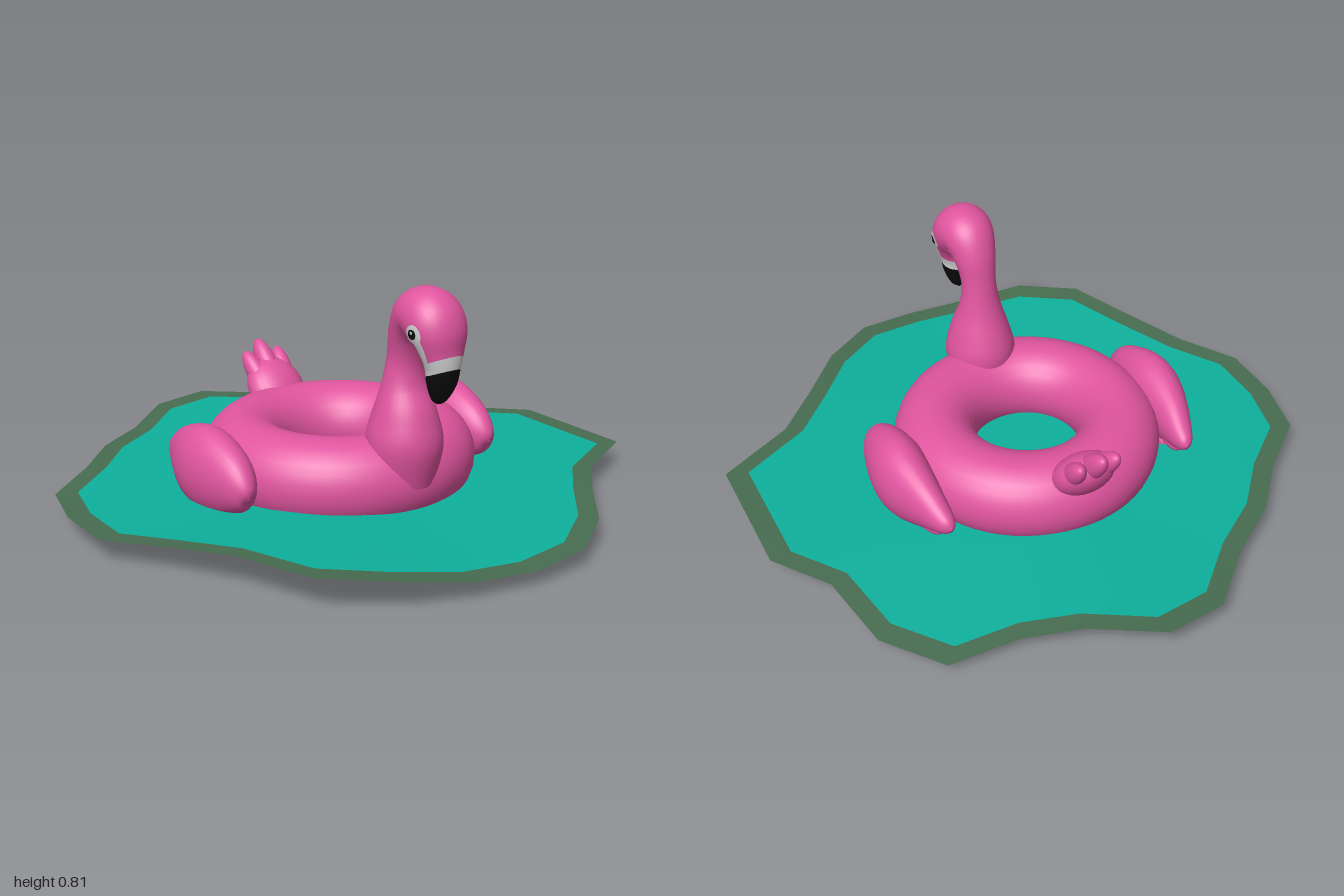
import * as THREE from 'three';

const material = (name, color, extra = {}) => {
  const m = new THREE.MeshStandardMaterial({ color, ...extra });
  m.name = name;
  return m;
};

// Closed-around surface: fn(u 0..1, v 0..1) gives a point, v wraps around
function surface(fn, nu, nv) {
  const pos = [], idx = [];
  for (let i = 0; i <= nu; i++)
    for (let j = 0; j < nv; j++) pos.push(...fn(i / nu, j / nv).toArray());
  for (let i = 0; i < nu; i++)
    for (let j = 0; j < nv; j++) {
      const k = (j + 1) % nv;
      const a = i * nv + j, b = a + nv, c = i * nv + k, d = c + nv;
      idx.push(a, b, c, b, d, c);
    }
  const g = new THREE.BufferGeometry();
  g.setAttribute('position', new THREE.Float32BufferAttribute(pos, 3));
  g.setIndex(idx);
  g.computeVertexNormals();
  return g;
}

// Smooth body through elliptical sections [x, y, z, radius in bend plane, radius across]
function makeBody(sections) {
  const n = sections.length - 1;
  const path = new THREE.CatmullRomCurve3(sections.map(s => new THREE.Vector3(s[0], s[1], s[2])), false, 'catmullrom', 0.5);
  const radii = new THREE.CatmullRomCurve3(sections.map(s => new THREE.Vector3(s[3], s[4], 0)), false, 'catmullrom', 0.5);
  // Point at section number s and angle a (0 = outside of the bend)
  return (s, a, lift = 0) => {
    const u = THREE.MathUtils.clamp(s / n, 0, 1);
    const p = path.getPoint(u), t = path.getTangent(u), r = radii.getPoint(u);
    const l = Math.hypot(t.y, t.z);
    const c = (Math.max(r.x, 0) + lift) * Math.cos(a);
    return new THREE.Vector3(
      p.x + (Math.max(r.y, 0) + lift) * Math.sin(a),
      p.y + (c * t.z) / l,
      p.z - (c * t.y) / l);
  };
}

export function createModel() {
  const model = new THREE.Group();
  model.name = 'flamingoFloatOnWater';
  const pink = material('pink vinyl', 0xe0559f);
  const white = material('pale grey', 0xcfcfcf);
  const black = material('black', 0x0b0b0b);
  const teal = material('teal water', 0x0eb09c, { side: THREE.DoubleSide });
  const green = material('dull green rim', 0x476c50, { side: THREE.DoubleSide });

  const add = (parent, name, geometry, mat) => {
    const mesh = new THREE.Mesh(geometry, mat);
    mesh.name = name;
    parent.add(mesh);
    return mesh;
  };

  // Water sheet: outline corners [x, z, height]
  const outline = [
    [0, -1, .11], [.22, -.86, .1], [.41, -.78, .07], [.64, -.76, .05], [.79, -.57, .05],
    [.84, -.3, .07], [.98, -.12, .08], [.98, .35, .08], [.71, .49, .08], [.55, .66, .08],
    [.4, .84, .07], [.21, .97, .06], [0, .99, .05], [-.22, .96, .06], [-.45, .9, .1],
    [-.64, .76, .11], [-.74, .5, .11], [-.85, .29, .09], [-.98, .1, .08], [-.98, -.12, .08],
    [-.93, -.33, .08], [-.74, -.49, .09], [-.59, -.66, .09], [-.4, -.79, .09], [-.21, -.97, .1],
  ].reverse();
  const sheet = (s0, s1, rows) => surface((u, v) => {
    const [x, z, y] = outline[Math.round(v * outline.length)];
    const s = s0 + (s1 - s0) * u;
    return new THREE.Vector3(x * s, .08 + (y - .08) * s * s, z * s);
  }, rows, outline.length);
  add(model, 'water', sheet(0, .925, 8), teal);
  add(model, 'waterRim', sheet(.925, 1, 1), green);

  const float = new THREE.Group();
  float.name = 'flamingoFloat';
  float.position.x = -.02;
  model.add(float);

  // Inflated ring
  const ring = new THREE.TorusGeometry(.323, .145, 28, 64).rotateX(Math.PI / 2).scale(1, 1.034, 1);
  add(float, 'ring', ring, pink).position.y = .15;

  // Neck, head and beak share one swept body
  const bird = makeBody([
    [0, .15, .37, .1, .1], [0, .28, .37, .13, .125], [0, .38, .37, .11, .105],
    [0, .48, .365, .07, .075], [0, .57, .372, .058, .062], [0, .66, .398, .068, .075],
    [0, .715, .445, .088, .092], [0, .715, .5, .094, .1], [0, .675, .535, .082, .095],
    [0, .62, .552, .06, .075], [0, .57, .557, .052, .058], [0, .52, .553, .042, .05],
    [0, .47, .543, .022, .028], [0, .45, .537, 0, 0],
  ]);
  // Stretch of the body between two sections; the joints slant towards the front
  const stretch = (s0, s1, skew0, skew1, rows) => surface((u, v) => {
    const a = v * Math.PI * 2;
    const start = s0 - skew0 * Math.cos(a), end = s1 - skew1 * Math.cos(a);
    return bird(start + (end - start) * u, a);
  }, rows, 32);
  add(float, 'neckAndHead', stretch(0, 9.5, 0, .3, 56), pink);
  add(float, 'beakBase', stretch(9.5, 10.3, .3, .4, 6), white);
  add(float, 'beakTip', stretch(10.3, 13, .4, 0, 16), black);

  // Face markings lie on the head surface
  const patch = (side, s, a, rs, ra, lift) => surface((u, v) => {
    const t = v * Math.PI * 2;
    return bird(s + rs * u * Math.cos(t), side * Math.PI / 2 + side * a + ra * u * Math.sin(t), lift);
  }, 4, 24);
  for (const side of [-1, 1]) {
    const eye = new THREE.Group();
    eye.name = side > 0 ? 'leftEye' : 'rightEye';
    float.add(eye);
    add(eye, 'eyePatch', patch(side, 7.85, 0, .55, .36, .003), white);
    add(eye, 'cheekStripe', patch(side, 8.8, 0, 1.1, .24, .002), white);
    add(eye, 'pupil', patch(side, 7.8, 0, .28, .19, .005), black);
    add(eye, 'glint', patch(side, 7.72, -.05, .09, .06, .007), white);
  }

  // Side wings with scalloped feather tips behind
  for (const side of [-1, 1]) {
    const wing = new THREE.Group();
    wing.name = side > 0 ? 'leftWing' : 'rightWing';
    float.add(wing);
    const loft = (name, sections) => {
      const body = makeBody(sections.map(([x, ...rest]) => [side * x, ...rest]));
      add(wing, name, surface((u, v) => body(u * (sections.length - 1), v * Math.PI * 2), 36, 28), pink);
    };
    loft('wingBody', [
      [.495, .14, .22, 0, 0], [.493, .147, .2, .055, .038], [.492, .163, .12, .112, .075],
      [.495, .174, 0, .146, .096], [.493, .175, -.1, .135, .09], [.48, .175, -.2, .098, .066],
      [.462, .17, -.29, .052, .042], [.455, .168, -.33, .028, .024], [.45, .167, -.347, 0, 0],
    ]);
    const feather = (name, y, z) => loft(name, [
      [.485, .17, -.02, 0, 0], [.485, .155, -.06, .04, .04],
      [.475, y + .02, z + .09, .045, .05], [.465, y, z + .025, .03, .032], [.46, y, z, 0, 0],
    ]);
    feather('middleFeather', .118, -.29);
    feather('lowerFeather', .078, -.225);
  }

  // Tail: rounded base with three upturned feathers
  const tail = new THREE.Group();
  tail.name = 'tail';
  float.add(tail);
  const ellipsoid = (name, p, r, tiltX, tiltZ = 0) => {
    const mesh = add(tail, name, new THREE.SphereGeometry(1, 28, 20).scale(...r), pink);
    mesh.position.set(...p);
    mesh.rotation.set(tiltX, 0, tiltZ);
  };
  ellipsoid('tailBase', [0, .275, -.4], [.108, .125, .07], -.75);
  ellipsoid('middleTailFeather', [0, .345, -.455], [.036, .115, .042], -.75);
  for (const side of [-1, 1])
    ellipsoid(side > 0 ? 'leftTailFeather' : 'rightTailFeather',
      [side * .055, .325, -.44], [.034, .1, .038], -.75, side * -.12);

  return model;
}
